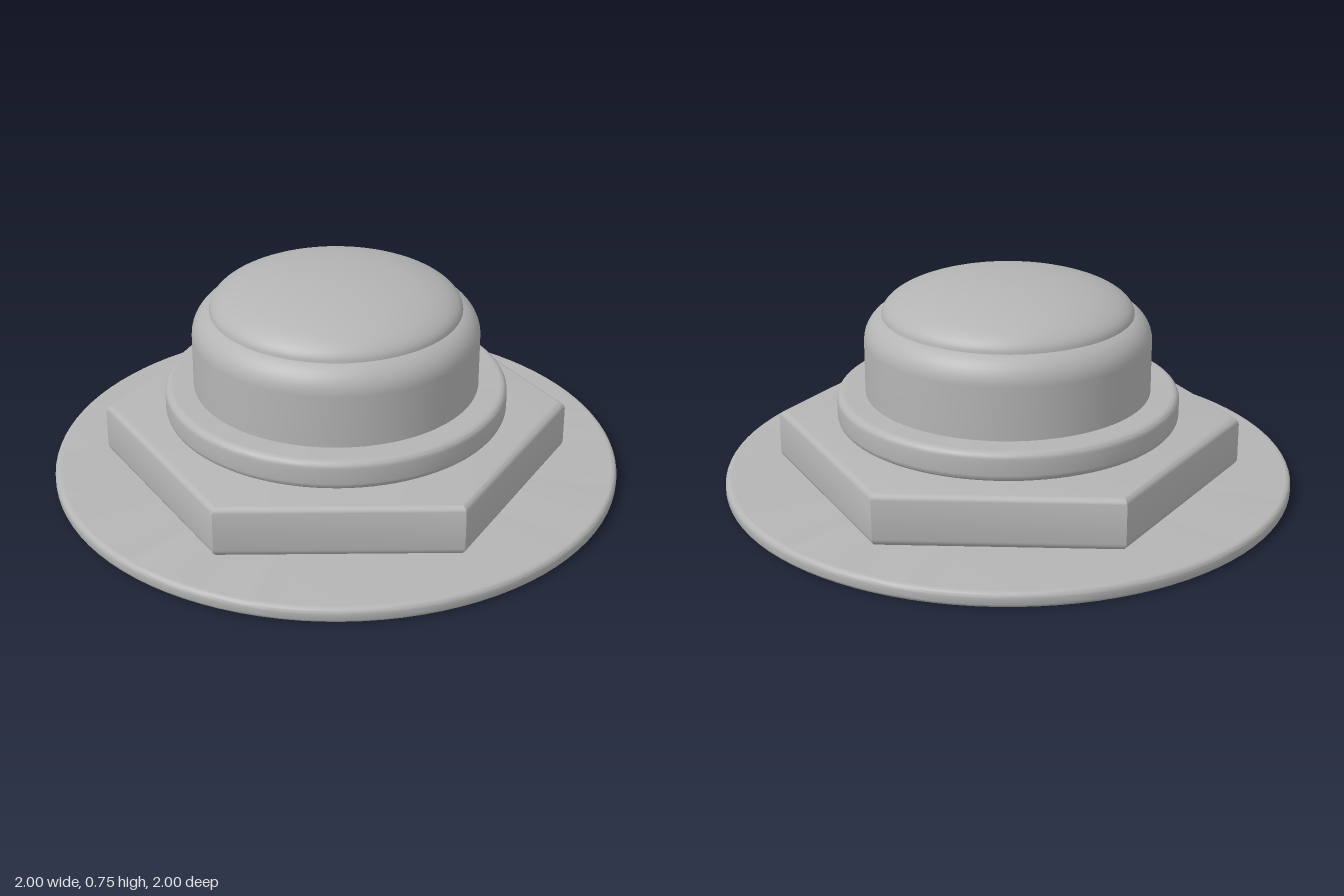
import * as THREE from 'three';
import { toCreasedNormals } from 'three/addons/utils/BufferGeometryUtils.js';

const CREASE = 0.4;

// Quarter-round fillet points, as [radius, height] about a centre
function arc(cx, cy, rx, ry, from, to, steps) {
  const points = [];
  for (let i = 0; i <= steps; i++) {
    const a = from + ((to - from) * i) / steps;
    points.push([cx + rx * Math.cos(a), cy + ry * Math.sin(a)]);
  }
  return points;
}

function turned(name, profile, material) {
  const points = profile.map(([r, y]) => new THREE.Vector2(Math.max(r, 0), y));
  const geometry = toCreasedNormals(new THREE.LatheGeometry(points, 96), CREASE);
  const mesh = new THREE.Mesh(geometry, material);
  mesh.name = name;
  return mesh;
}

// Solid disc with rounded upper and lower rims
function roundedDisc(name, radius, bottom, top, fillet, material) {
  const c = radius - fillet;
  const q = Math.PI / 2;
  return turned(name, [
    [0, bottom], [c - 0.005, bottom],
    ...arc(c, bottom + fillet, fillet, fillet, -q, 0, 6),
    ...arc(c, top - fillet, fillet, fillet, 0, q, 6),
    [c - 0.005, top], [0, top],
  ], material);
}

export function createModel() {
  const model = new THREE.Group();
  model.name = 'flangedButton';
  const grey = new THREE.MeshStandardMaterial({ color: 0xb4b4b4 });
  grey.name = 'satin grey';

  // Thin round base and the collar above the nut
  model.add(roundedDisc('basePlate', 1, 0, 0.055, 0.02, grey));
  model.add(roundedDisc('collar', 0.6, 0.24, 0.345, 0.025, grey));

  // Hexagonal nut with rounded upper and lower edges, turned 15 degrees
  const bevel = 0.028;
  const radius = 0.815 - bevel / Math.cos(Math.PI / 6);
  const hexagon = new THREE.Shape();
  for (let i = 0; i < 6; i++) {
    const a = Math.PI / 12 + (i * Math.PI) / 3;
    hexagon[i ? 'lineTo' : 'moveTo'](radius * Math.cos(a), radius * Math.sin(a));
  }
  hexagon.closePath();
  const bottom = 0.055, top = 0.24;
  const hexGeometry = new THREE.ExtrudeGeometry(hexagon, {
    depth: top - bottom - 2 * bevel,
    bevelSize: bevel,
    bevelThickness: bevel,
    bevelSegments: 6,
  });
  hexGeometry.rotateX(Math.PI / 2);
  hexGeometry.translate(0, top - bevel, 0);
  const nut = new THREE.Mesh(toCreasedNormals(hexGeometry, CREASE), grey);
  nut.name = 'hexNut';
  model.add(nut);

  // Cylindrical body with a rounded shoulder
  model.add(turned('buttonBody', [
    [0.5, 0.33], [0.5, 0.525],
    ...arc(0.4, 0.53, 0.1, 0.1, 0, Math.PI / 2, 10),
    [0, 0.63],
  ], grey));

  // Shallow domed cap
  model.add(turned('domeCap',
    arc(0, 0.622, 0.438, 0.123, 0, Math.PI / 2, 20), grey));

  return model;
}
